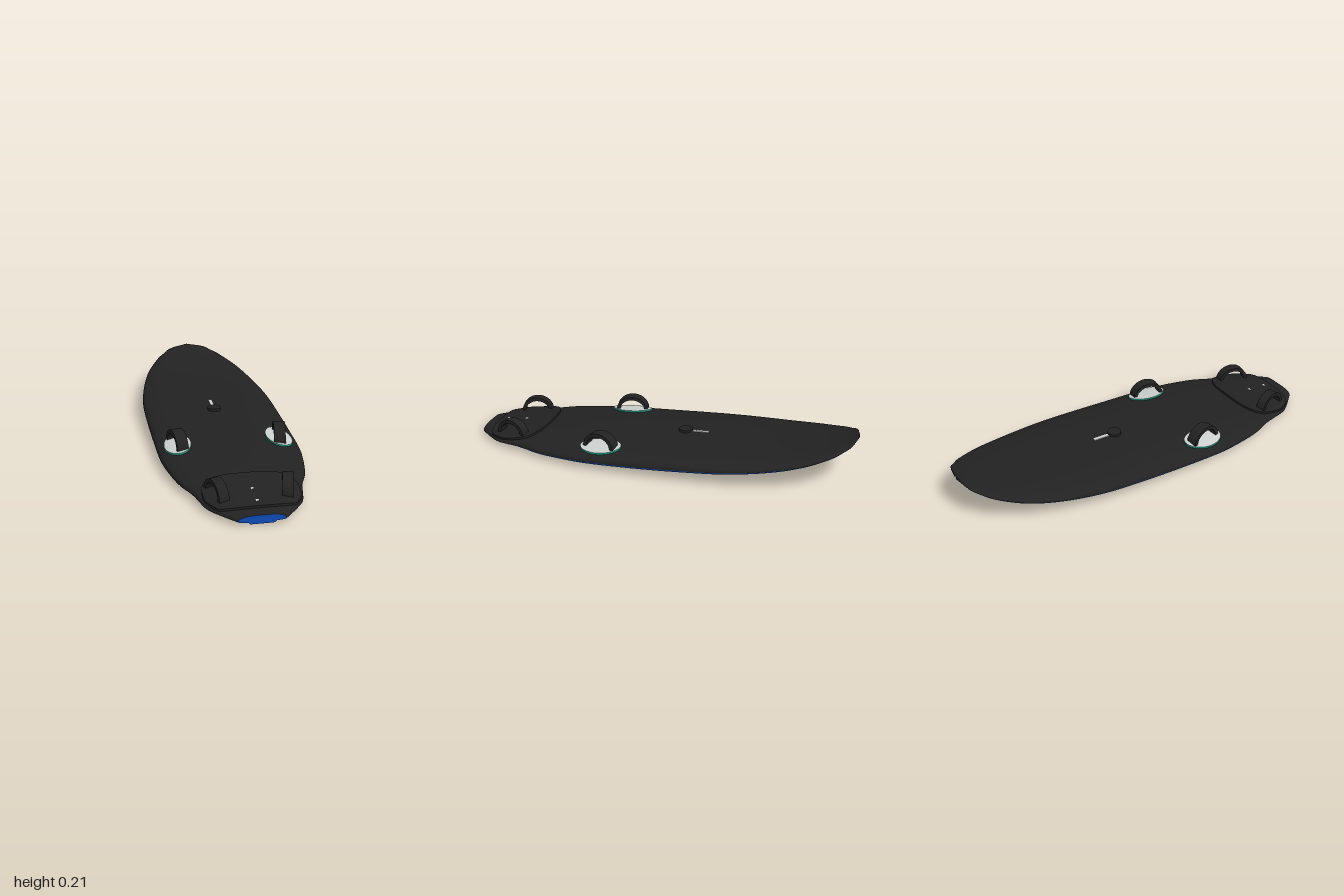
import * as THREE from 'three';
import { toCreasedNormals } from 'three/addons/utils/BufferGeometryUtils.js';

const mat = (name, color, double) => {
  const m = new THREE.MeshStandardMaterial({ color });
  m.name = name;
  if (double) m.side = THREE.DoubleSide;
  return m;
};

// Smooth curve through [z, value] knots
function curve(knots) {
  const slope = (i) => {
    const a = knots[Math.max(i - 1, 0)], b = knots[Math.min(i + 1, knots.length - 1)];
    return (b[1] - a[1]) / (b[0] - a[0]);
  };
  return (z) => {
    let i = 0;
    while (i < knots.length - 2 && z > knots[i + 1][0]) i++;
    const [z0, v0] = knots[i], [z1, v1] = knots[i + 1], h = z1 - z0;
    const t = THREE.MathUtils.clamp((z - z0) / h, 0, 1), t2 = t * t, t3 = t2 * t;
    return v0 * (2 * t3 - 3 * t2 + 1) + v1 * (3 * t2 - 2 * t3)
      + h * (slope(i) * (t3 - 2 * t2 + t) + slope(i + 1) * (t3 - t2));
  };
}

// Board outline (half width), deck line and bottom rocker, nose at -z
const width = curve([[-1, 0.004], [-0.98, 0.1], [-0.95, 0.14], [-0.9, 0.19], [-0.77, 0.262], [-0.6, 0.312],
  [-0.4, 0.345], [-0.2, 0.355], [0.2, 0.355], [0.35, 0.35], [0.5, 0.327], [0.61, 0.3], [0.7, 0.262],
  [0.77, 0.245], [0.86, 0.22], [0.92, 0.178], [1, 0.108]]);
const topLine = curve([[-1, 0.214], [-0.95, 0.195], [-0.85, 0.17], [-0.7, 0.15], [-0.5, 0.136], [-0.2, 0.124],
  [0, 0.115], [0.3, 0.1], [0.6, 0.08], [0.85, 0.058], [1, 0.045]]);
const bottomLine = curve([[-1, 0.198], [-0.95, 0.168], [-0.88, 0.138], [-0.75, 0.1], [-0.6, 0.07], [-0.4, 0.045],
  [-0.2, 0.029], [0, 0.016], [0.2, 0.008], [0.5, 0.004], [1, 0.004]]);
const railLine = (z) => THREE.MathUtils.lerp(bottomLine(z), topLine(z), 0.37);

function deckY(x, z) {
  const u = Math.min(Math.abs(x) / width(z), 1);
  return railLine(z) + (topLine(z) - railLine(z)) * Math.pow(1 - u ** 3, 0.4);
}
function hullY(x, z) {
  const u = Math.min(Math.abs(x) / width(z), 1);
  // stepped cutaways either side of the tail
  const cut = THREE.MathUtils.smoothstep(z, 0.72, 0.735) * THREE.MathUtils.smoothstep(u, 0.52, 0.6);
  return railLine(z) - (railLine(z) - bottomLine(z)) * Math.sqrt(1 - u ** 4) * (1 - 0.6 * cut);
}

// Surface grid whose front faces along du x dv
function grid(nu, nv, f, flip = false) {
  const pos = [], index = [], row = nv + 1;
  for (let i = 0; i <= nu; i++) for (let j = 0; j <= nv; j++) pos.push(...f(i / nu, j / nv));
  for (let i = 0; i < nu; i++) for (let j = 0; j < nv; j++) {
    const a = i * row + j, b = a + row, c = a + 1, d = b + 1;
    if (flip) index.push(a, c, b, b, c, d);
    else index.push(a, b, c, b, d, c);
  }
  const g = new THREE.BufferGeometry();
  g.setAttribute('position', new THREE.Float32BufferAttribute(pos, 3));
  g.setIndex(index);
  g.computeVertexNormals();
  return g;
}

export function createModel() {
  const black = mat('black', 0x222222);
  const blue = mat('blue', 0x0d4bb5);
  const white = mat('white', 0xcdd2d0);
  const teal = mat('teal', 0x1fa08a, true);
  const blackEdge = black;

  const board = new THREE.Group();
  board.name = 'windsurfBoard';
  const add = (name, geometry, material, parent = board) => {
    const m = new THREE.Mesh(geometry, material);
    m.name = name;
    parent.add(m);
    return m;
  };

  // Hull: deck shell, bottom shell and flat tail face
  const zAt = (u) => THREE.MathUtils.lerp(-Math.cos(Math.PI * u), 2 * u - 1, 0.4);
  const xAt = (v, z) => Math.sin((v - 0.5) * Math.PI) * width(z);
  const shell = (yAt) => (u, v) => {
    const z = zAt(u), x = xAt(v, z);
    return [x, yAt(x, z), z];
  };
  add('deck', grid(110, 40, shell(deckY)), black);
  add('bottom', grid(160, 48, shell(hullY), true), blue);
  add('tailFace', grid(1, 40, (u, v) => {
    const x = xAt(v, 1);
    return [x, u ? deckY(x, 1) : hullY(x, 1), 1];
  }, true), blue);

  // Pads that follow the deck: domed top plus a skirt
  function pad(name, outline, lift, topMat, edgeMat) {
    const g = new THREE.Group();
    g.name = name;
    board.add(g);
    const [cx, cz] = outline.center;
    const at = (t, r, up) => {
      const [dx, dz] = outline.at(t * Math.PI * 2);
      const z = cz + dz * r, x = cx + dx * r;
      const limit = width(z) * 0.96;
      const xc = THREE.MathUtils.clamp(x, -limit, limit);
      return [xc, deckY(xc, z) + up, z];
    };
    add('padTop', grid(64, 10, (t, r) => at(t, r, lift)), topMat, g);
    add('padEdge', grid(64, 1, (t, v) => at(t, 1, lift - v * (lift + 0.004))), edgeMat, g);
  }
  const superEllipse = (cx, cz, rx, rz, n) => ({
    center: [cx, cz],
    at: (t) => {
      const c = Math.cos(t), s = Math.sin(t);
      return [rx * Math.sign(c) * Math.abs(c) ** (2 / n), rz * Math.sign(s) * Math.abs(s) ** (2 / n)];
    },
  });
  pad('rearPad', superEllipse(0, 0.79, 0.226, 0.15, 3.2), 0.011, black, blackEdge);

  // Foot strap: half-ring band arching along the board
  function strapGeometry(radius, height, band, thick) {
    const s = new THREE.Shape();
    s.moveTo(radius, -0.01);
    s.lineTo(radius, 0);
    s.absellipse(0, 0, radius, height, 0, Math.PI, false);
    s.lineTo(-radius, -0.01);
    s.lineTo(-radius + thick, -0.01);
    s.lineTo(-radius + thick, 0);
    s.absellipse(0, 0, radius - thick, height - thick, Math.PI, 0, true);
    s.lineTo(radius - thick, -0.01);
    const g = new THREE.ExtrudeGeometry(s, { depth: band, bevelEnabled: false, curveSegments: 20 });
    g.translate(0, 0, -band / 2).rotateY(Math.PI / 2);
    return toCreasedNormals(g, 0.6);
  }
  const frontStrap = strapGeometry(0.086, 0.078, 0.058, 0.018);
  const rearStrap = strapGeometry(0.084, 0.078, 0.05, 0.018);

  for (const side of [1, -1]) {
    const label = side > 0 ? 'left' : 'right';
    pad(label + 'FrontPad', superEllipse(side * 0.258, 0.267, 0.066, 0.108, 2), 0.009, white, teal);
    const front = add(label + 'FrontStrap', frontStrap, black);
    front.position.set(side * 0.258, 0.093, 0.267);
    front.rotation.y = -side * 0.18;
    const rear = add(label + 'RearStrap', rearStrap, black);
    rear.position.set(side * 0.165, 0.06, 0.795);
    rear.rotation.y = -side * 0.25;
  }

  // Mast track slot and mast base plug
  const slot = add('mastSlot', new THREE.BoxGeometry(0.018, 0.006, 0.085), white);
  slot.position.set(0, deckY(0, -0.19) + 0.001, -0.19);
  slot.rotation.x = 0.045;
  const plug = add('mastPlug', new THREE.CylinderGeometry(0.035, 0.035, 0.016, 32), black);
  plug.position.set(0, deckY(0, -0.11) + 0.005, -0.11);

  // Fin bolt holes on the rear pad
  for (const z of [0.79, 0.895]) {
    const bolt = add('finBolt', new THREE.BoxGeometry(0.014, 0.006, 0.014), white);
    bolt.position.set(0, deckY(0, z) + 0.01, z);
    bolt.rotation.x = 0.09;
  }

  // Fin box under the tail
  add('finBox', new THREE.BoxGeometry(0.026, 0.006, 0.19), black).position.set(0, 0.003, 0.81);

  return board;
}
